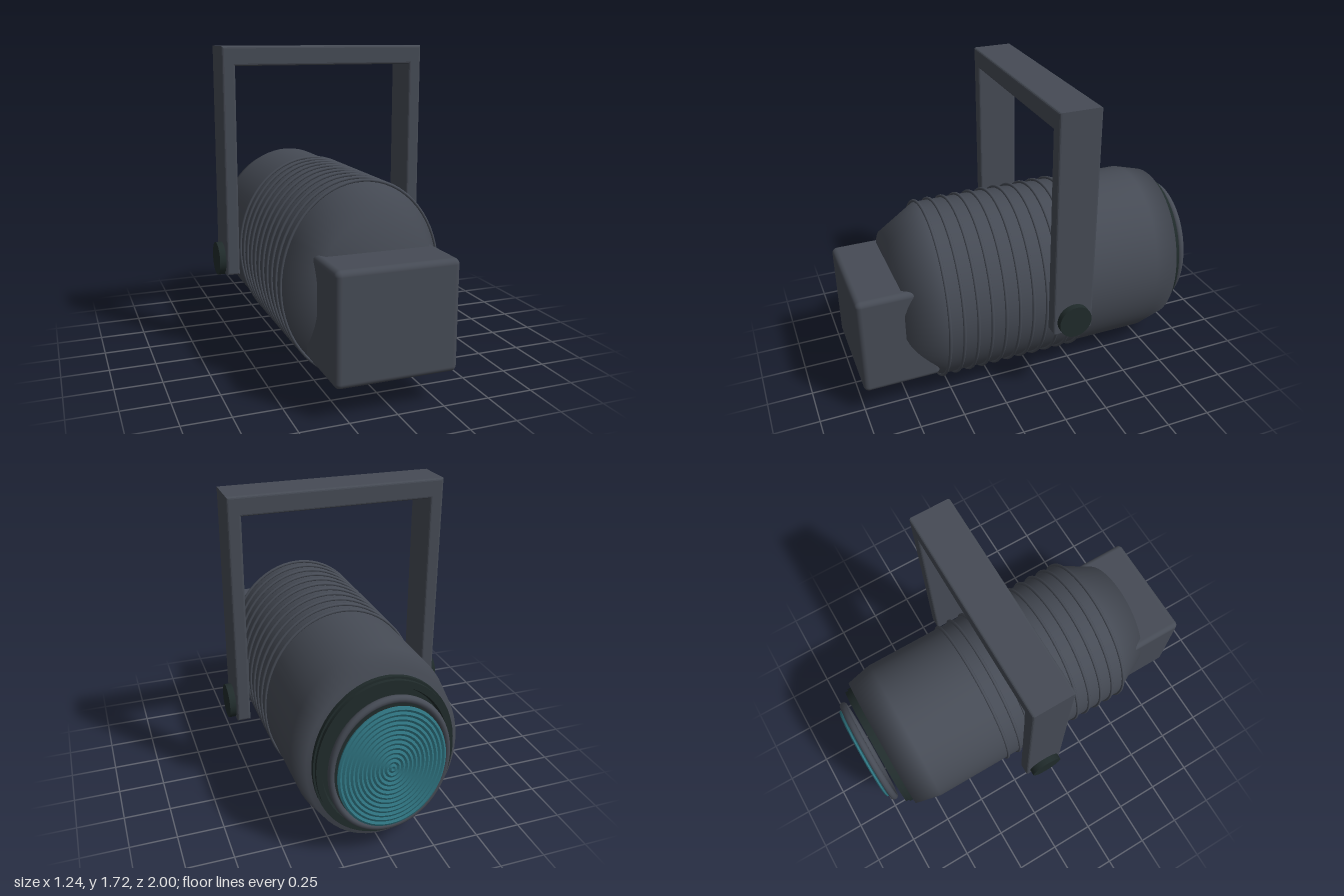
import * as THREE from 'three';
import { toCreasedNormals } from 'three/addons/utils/BufferGeometryUtils.js';
import { RoundedBoxGeometry } from 'three/addons/geometries/RoundedBoxGeometry.js';

const AXIS_Y = 0.537; // height of the barrel axis
const SQUASH = 0.835; // barrel is an upright oval

export function createModel() {
  const model = new THREE.Group();
  const material = (name, color) => {
    const m = new THREE.MeshStandardMaterial({ color });
    m.name = name;
    return m;
  };
  const housing = material('charcoal housing', 0x464b55);
  const dark = material('dark trim', 0x202b2b);
  const glass = material('teal glass', 0x2f7582);

  const add = (name, geometry, mat, x = 0, y = 0, z = 0) => {
    const mesh = new THREE.Mesh(geometry, mat);
    mesh.name = name;
    mesh.position.set(x, y, z);
    model.add(mesh);
    return mesh;
  };

  // Oval solid along z from [radius, z] pairs, back to front
  const ovalLathe = (profile) =>
    new THREE.LatheGeometry(profile.map(([r, z]) => new THREE.Vector2(r, z)), 64)
      .rotateX(Math.PI / 2).scale(SQUASH, 1, 1);
  const ovalRing = (radius, tube) =>
    new THREE.TorusGeometry(radius, tube, 10, 64).scale(SQUASH, 1, 1);

  // Barrel
  add('barrel', ovalLathe([
    [0, -0.87], [0.48, -0.87], [0.52, -0.72], [0.52, 0.54], [0.39, 0.75], [0, 0.75],
  ]), housing, 0, AXIS_Y);

  // Cooling ribs
  for (let i = 0; i < 11; i++) {
    add('coolingRib', ovalRing(0.527, 0.009), housing, 0, AXIS_Y, 0.54 - i * 0.08);
  }

  // Stepped rim at the light opening
  add('openingRim', toCreasedNormals(ovalLathe([
    [0, -0.885], [0.39, -0.885], [0.4, -0.912], [0.435, -0.912],
    [0.435, -0.893], [0.447, -0.893], [0.447, -0.86],
  ]), 0.6), dark, 0, AXIS_Y);

  // Lens retaining ring and ridged lens
  add('lensRing', ovalRing(0.365, 0.02), housing, 0, AXIS_Y, -0.96);
  const ridges = [[0, -0.994]];
  const count = 13, step = 0.34 / count;
  for (let i = 0; i < count; i++) {
    ridges.push([(i + 0.5) * step, -1], [(i + 1) * step, -0.994]);
  }
  ridges.push([0.34, -0.986], [0, -0.986]);
  add('lens', toCreasedNormals(ovalLathe(ridges), 0.3), glass, 0, AXIS_Y);

  // Lamp box
  add('lampBox', new RoundedBoxGeometry(0.64, 0.575, 0.43, 4, 0.03), housing, 0, 0.4575, 0.785);

  // Hanging yoke, a bevelled U turned upside down
  const b = 0.012;
  const outer = 0.585 - b, inner = 0.512 + b, low = 0.465 + b;
  const yoke = new THREE.Shape();
  [[-outer, low], [-inner, low], [-inner, 1.62 + b], [inner, 1.62 + b],
    [inner, low], [outer, low], [outer, 1.725 - b], [-outer, 1.725 - b]]
    .forEach(([x, y], i) => (i ? yoke.lineTo(x, y) : yoke.moveTo(x, y)));
  yoke.closePath();
  add('yoke', new THREE.ExtrudeGeometry(yoke, {
    depth: 0.23 - 2 * b, bevelEnabled: true, bevelSize: b, bevelThickness: b, bevelSegments: 3,
  }), housing, 0, 0, -0.22 + b);

  // Tilt knobs
  for (const [side, name] of [[1, 'leftKnob'], [-1, 'rightKnob']]) {
    add(name, new THREE.CylinderGeometry(0.093, 0.093, 0.092, 32).rotateZ(Math.PI / 2),
      dark, side * 0.574, 0.54, -0.105);
  }
  return model;
}
